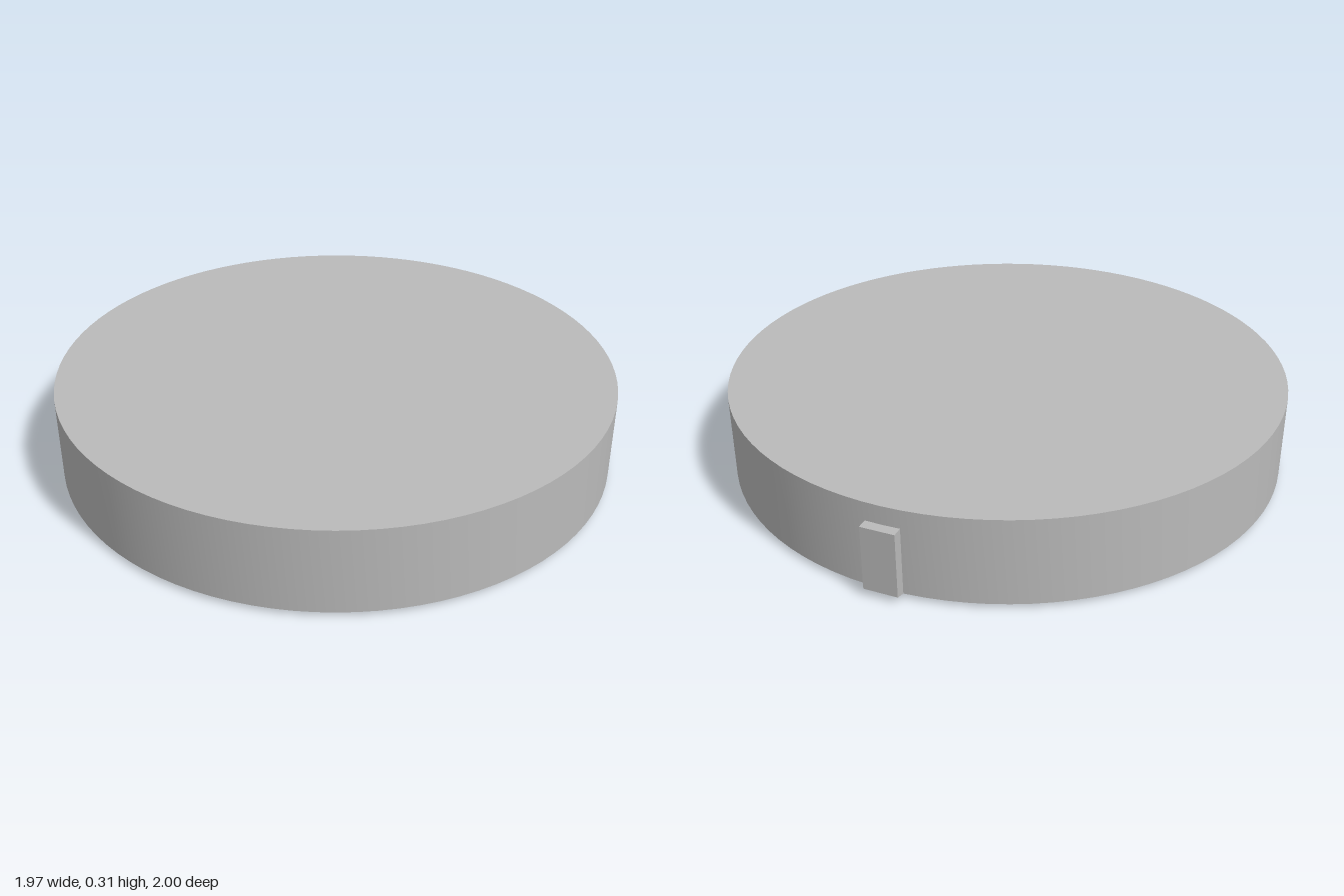
import * as THREE from 'three';
import { toCreasedNormals } from 'three/addons/utils/BufferGeometryUtils.js';

const CREASE = Math.PI / 6;
const CENTRE_Z = 0.017; // the disc sits slightly forward to make room for the tab
const CEILING = 0.25;
const WALL_R = 0.897;

export function createModel() {
  const grey = new THREE.MeshStandardMaterial({ color: 0xbababa });
  grey.name = 'plain grey';

  const model = new THREE.Group();
  model.name = 'roundCap';
  const add = (name, geometry, parent = model) => {
    const mesh = new THREE.Mesh(geometry, grey);
    mesh.name = name;
    parent.add(mesh);
    return mesh;
  };
  const lathe = (points, segments) => toCreasedNormals(
    new THREE.LatheGeometry(points.map(([r, y]) => new THREE.Vector2(r, y)), segments), CREASE);

  // Hollow disc, open underneath, with a chamfered lower edge
  add('shell', lathe([
    [0, CEILING], [WALL_R, CEILING], [WALL_R, 0], [0.96, 0],
    [0.983, 0.015], [0.983, 0.315], [0, 0.315],
  ], 96));

  // Eight radial ribs inside the wall
  const ribs = new THREE.Group();
  ribs.name = 'ribs';
  model.add(ribs);
  const inner = 0.64, outer = 0.91, ribBottom = 0.035;
  for (let i = 0; i < 8; i++) {
    const geometry = new THREE.BoxGeometry(0.05, CEILING + 0.01 - ribBottom, outer - inner);
    geometry.translate(0, (CEILING + 0.01 + ribBottom) / 2, (inner + outer) / 2);
    geometry.rotateY((i + 0.5) * Math.PI / 4);
    add('rib', geometry, ribs);
  }

  // Central post with a cross-shaped socket
  const hubR = 0.147, hubTop = 0.17, a = 0.107, w = 0.04;
  const section = new THREE.Shape().absarc(0, 0, hubR, 0, Math.PI * 2, false);
  section.holes.push(new THREE.Path([
    [a, w], [a, -w], [w, -w], [w, -a], [-w, -a], [-w, -w],
    [-a, -w], [-a, w], [-w, w], [-w, a], [w, a], [w, w],
  ].map(([x, y]) => new THREE.Vector2(x, y))));
  const post = new THREE.ExtrudeGeometry(section, { depth: hubTop, bevelEnabled: false, curveSegments: 48 });
  post.rotateX(-Math.PI / 2);
  add('hubPost', toCreasedNormals(post, CREASE));

  // Socket floor and flared root joining the post to the ceiling
  add('hubFlare', lathe([[0, hubTop], [hubR, hubTop], [0.217, CEILING]], 48));

  // Locating tab at the back, sloped along its lower edge
  const profile = new THREE.Shape([
    [0.94, 0.015], [0.983, 0.015], [1.017, 0.025], [1.017, 0.25], [0.94, 0.25],
  ].map(([x, y]) => new THREE.Vector2(x, y)));
  const tab = new THREE.ExtrudeGeometry(profile, { depth: 0.116, bevelEnabled: false });
  tab.translate(0, 0, -0.058);
  tab.rotateY(Math.PI / 2);
  add('backTab', tab);

  model.position.z = CENTRE_Z;
  const root = new THREE.Group();
  root.name = 'model';
  root.add(model);
  return root;
}
